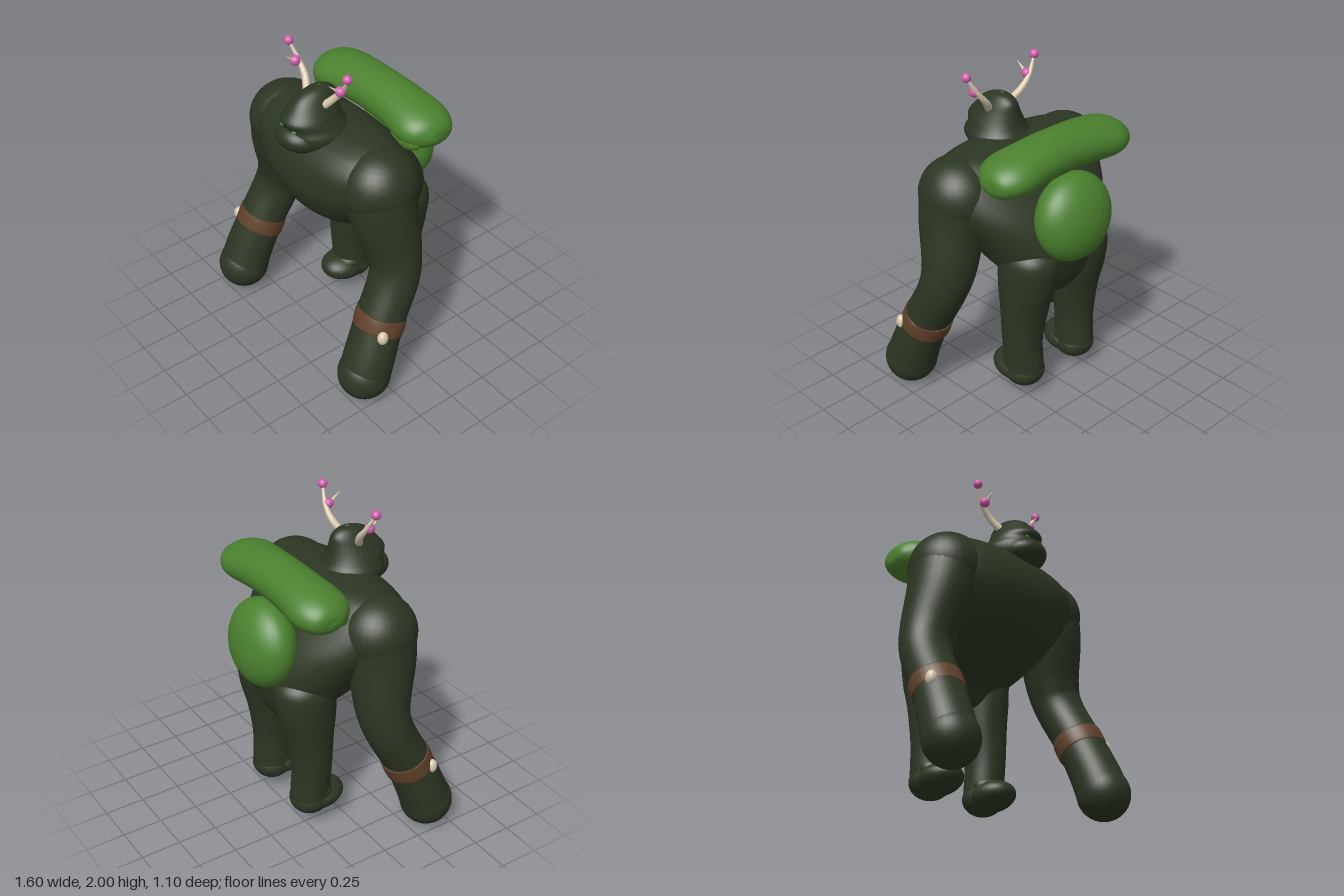
import * as THREE from 'three';

const paint = (name, color) => {
  const m = new THREE.MeshStandardMaterial({ color });
  m.name = name;
  return m;
};

// Smooth skin through rows of [x, y, z, radiusU, radiusV].
// level: rings stay horizontal (u = x, v = -z) and rows run upward; otherwise rings follow the path.
function sweep(rows, { level = false, ref = [1, 0, 0], steps = 40, sides = 36, power = 2 } = {}) {
  const spline = (pts) => new THREE.CatmullRomCurve3(pts, false, 'catmullrom', 0.5);
  const path = spline(rows.map((r) => new THREE.Vector3(r[0], r[1], r[2])));
  const size = spline(rows.map((r) => new THREE.Vector3(r[3], r[4], 0)));
  const round = (v) => Math.sign(v) * Math.abs(v) ** (2 / power);
  const pos = [], index = [];
  for (let i = 0; i <= steps; i++) {
    const k = i / steps, c = path.getPoint(k), s = size.getPoint(k);
    const t = level ? new THREE.Vector3(0, 1, 0) : path.getTangent(k);
    const u = new THREE.Vector3(...ref);
    u.addScaledVector(t, -u.dot(t)).normalize();
    const v = t.clone().cross(u);
    for (let j = 0; j < sides; j++) {
      const a = (j / sides) * Math.PI * 2;
      const p = c.clone()
        .addScaledVector(u, round(Math.cos(a)) * Math.max(s.x, 0.001))
        .addScaledVector(v, round(Math.sin(a)) * Math.max(s.y, 0.001));
      pos.push(p.x, p.y, p.z);
      if (i < steps) {
        const n = (j + 1) % sides, b = i * sides, d = b + sides;
        index.push(b + j, b + n, d + j, b + n, d + n, d + j);
      }
    }
  }
  const g = new THREE.BufferGeometry();
  g.setAttribute('position', new THREE.Float32BufferAttribute(pos, 3));
  g.setIndex(index);
  g.computeVertexNormals();
  return g;
}

// Ellipsoid at a point, with optional tilt about x
function ball(center, radii, tilt = 0) {
  return new THREE.SphereGeometry(1, 32, 20).scale(...radii).rotateX(tilt).translate(...center);
}

// Row of a level section given by its front and back z
const slice = (y, front, back, halfWidth) => [0, y, (front + back) / 2, halfWidth, (front - back) / 2];

export function createModel() {
  const fur = paint('dark fur', 0x2c3623);
  const moss = paint('moss green', 0x4b812e);
  const leather = paint('brown leather', 0x60412b);
  const bone = paint('pale bone', 0xd8c9ad);
  const pink = paint('pink bulb', 0xd25dac);

  const model = new THREE.Group();
  model.name = 'mossyApe';
  const add = (parent, name, geometry, material) => {
    const mesh = new THREE.Mesh(geometry, material);
    mesh.name = name;
    parent.add(mesh);
  };

  // Torso from crotch to shoulders
  add(model, 'torso', sweep([
    slice(0.67, -0.14, -0.24, 0.01),
    slice(0.71, -0.08, -0.32, 0.12),
    slice(0.8, -0.02, -0.37, 0.24),
    slice(0.9, 0.13, -0.4, 0.34),
    slice(1.0, 0.31, -0.42, 0.4),
    slice(1.1, 0.4, -0.4, 0.46),
    slice(1.25, 0.45, -0.32, 0.55),
    slice(1.4, 0.43, -0.2, 0.58),
    slice(1.5, 0.36, -0.11, 0.53),
    slice(1.55, 0.28, -0.05, 0.44),
    slice(1.575, 0.2, 0.02, 0.3),
    slice(1.58, 0.12, 0.1, 0.02),
  ], { level: true, steps: 66, sides: 60, power: 2.3 }), fur);

  // Head with pointed crest and brow, plus a broad rounded muzzle
  add(model, 'head', sweep([
    slice(1.39, 0.3, 0.13, 0.03),
    slice(1.42, 0.36, 0.08, 0.11),
    slice(1.46, 0.41, 0.05, 0.155),
    slice(1.51, 0.44, 0.04, 0.185),
    slice(1.56, 0.445, 0.05, 0.19),
    slice(1.605, 0.443, 0.075, 0.164),
    slice(1.65, 0.46, 0.09, 0.142),
    slice(1.7, 0.42, 0.1, 0.112),
    slice(1.76, 0.365, 0.11, 0.076),
    slice(1.795, 0.3, 0.15, 0.045),
    slice(1.81, 0.23, 0.2, 0.005),
  ], { level: true, steps: 60 }), fur);
  add(model, 'muzzle', ball([0, 1.525, 0.35], [0.142, 0.088, 0.138], -0.15), fur);

  // Mossy roll across the shoulders and mossy hump on the rump
  add(model, 'mossRoll', sweep([
    [-0.53, 1.54, -0.225, 0, 0],
    [-0.517, 1.541, -0.225, 0.075, 0.05],
    [-0.47, 1.547, -0.228, 0.14, 0.093],
    [-0.37, 1.562, -0.23, 0.177, 0.12],
    [-0.19, 1.583, -0.235, 0.16, 0.131],
    [0, 1.59, -0.235, 0.152, 0.133],
    [0.19, 1.583, -0.235, 0.16, 0.131],
    [0.37, 1.562, -0.23, 0.177, 0.12],
    [0.47, 1.547, -0.228, 0.14, 0.093],
    [0.517, 1.541, -0.225, 0.075, 0.05],
    [0.53, 1.54, -0.225, 0, 0],
  ], { ref: [0, 0, 1], steps: 70 }), moss);
  add(model, 'mossHump', ball([0, 1.22, -0.375], [0.27, 0.268, 0.17], 0.12), moss);

  for (const s of [1, -1]) {
    const side = new THREE.Group();
    side.name = s > 0 ? 'leftSide' : 'rightSide';
    model.add(side);
    const at = (x, y, z) => [s * x, y, z];

    // Long arm leaning forward onto its fist
    add(side, 'shoulder', ball(at(0.435, 1.34, 0.13), [0.225, 0.225, 0.235]), fur);
    add(side, 'arm', sweep([
      [...at(0.44, 1.36, 0.13), 0.215, 0.225],
      [...at(0.48, 1.18, 0.13), 0.195, 0.205],
      [...at(0.54, 0.92, 0.1), 0.168, 0.165],
      [...at(0.58, 0.75, 0.125), 0.155, 0.145],
      [...at(0.608, 0.5, 0.25), 0.152, 0.142],
      [...at(0.63, 0.3, 0.335), 0.157, 0.15],
      [...at(0.638, 0.162, 0.385), 0.158, 0.158],
    ]), fur);
    add(side, 'fist', ball(at(0.638, 0.165, 0.387), [0.162, 0.163, 0.162]), fur);

    // Leather band with a bone stud
    add(side, 'armBand', sweep([
      [...at(0.604, 0.542, 0.229), 0.145, 0.138],
      [...at(0.604, 0.54, 0.23), 0.157, 0.15],
      [...at(0.611, 0.455, 0.266), 0.157, 0.15],
      [...at(0.611, 0.453, 0.267), 0.145, 0.138],
    ], { steps: 12 }), leather);
    add(side, 'bandStud', ball(at(0.74, 0.492, 0.335), [0.031, 0.045, 0.033]), bone);

    // Short leg and foot
    add(side, 'leg', sweep([
      [...at(0.22, 0.15, -0.2), 0.12, 0.12],
      [...at(0.222, 0.25, -0.192), 0.12, 0.122],
      [...at(0.225, 0.4, -0.185), 0.124, 0.126],
      [...at(0.215, 0.62, -0.195), 0.147, 0.15],
      [...at(0.21, 0.8, -0.21), 0.165, 0.183],
      [...at(0.2, 0.98, -0.22), 0.17, 0.19],
      [...at(0.19, 1.08, -0.22), 0.1, 0.1],
    ], { level: true }), fur);
    add(side, 'heel', ball(at(0.22, 0.16, -0.2), [0.125, 0.1, 0.122]), fur);
    add(side, 'foot', ball(at(0.22, 0.165, -0.125), [0.13, 0.088, 0.157], -0.1), fur);
    add(side, 'instep', ball(at(0.221, 0.215, -0.15), [0.118, 0.08, 0.11], 0.5), fur);

    // Moss rooting the roll into the back
    add(side, 'mossRoot', ball(at(0.36, 1.505, -0.125), [0.12, 0.065, 0.06]), moss);

    // Small eye under the brow
    add(side, 'eye', ball(at(0.055, 1.606, 0.432), [0.017, 0.009, 0.011]), moss);

    // Antler with a forward prong and two bulbs
    add(side, 'antler', sweep([
      [...at(0.08, 1.72, 0.24), 0.024, 0.024],
      [...at(0.14, 1.79, 0.205), 0.021, 0.021],
      [...at(0.205, 1.865, 0.2), 0.015, 0.015],
      [...at(0.268, 1.97, 0.222), 0.007, 0.007],
    ], { ref: [0, 0, 1], steps: 20, sides: 12 }), bone);
    add(side, 'prong', sweep([
      [...at(0.195, 1.85, 0.2), 0.012, 0.012],
      [...at(0.205, 1.885, 0.25), 0.009, 0.009],
      [...at(0.2, 1.93, 0.3), 0.001, 0.001],
    ], { steps: 10, sides: 10 }), bone);
    add(side, 'lowerBulb', ball(at(0.207, 1.868, 0.223), [0.031, 0.031, 0.031]), pink);
    add(side, 'upperBulb', ball(at(0.267, 1.972, 0.222), [0.028, 0.028, 0.028]), pink);
  }
  return model;
}
